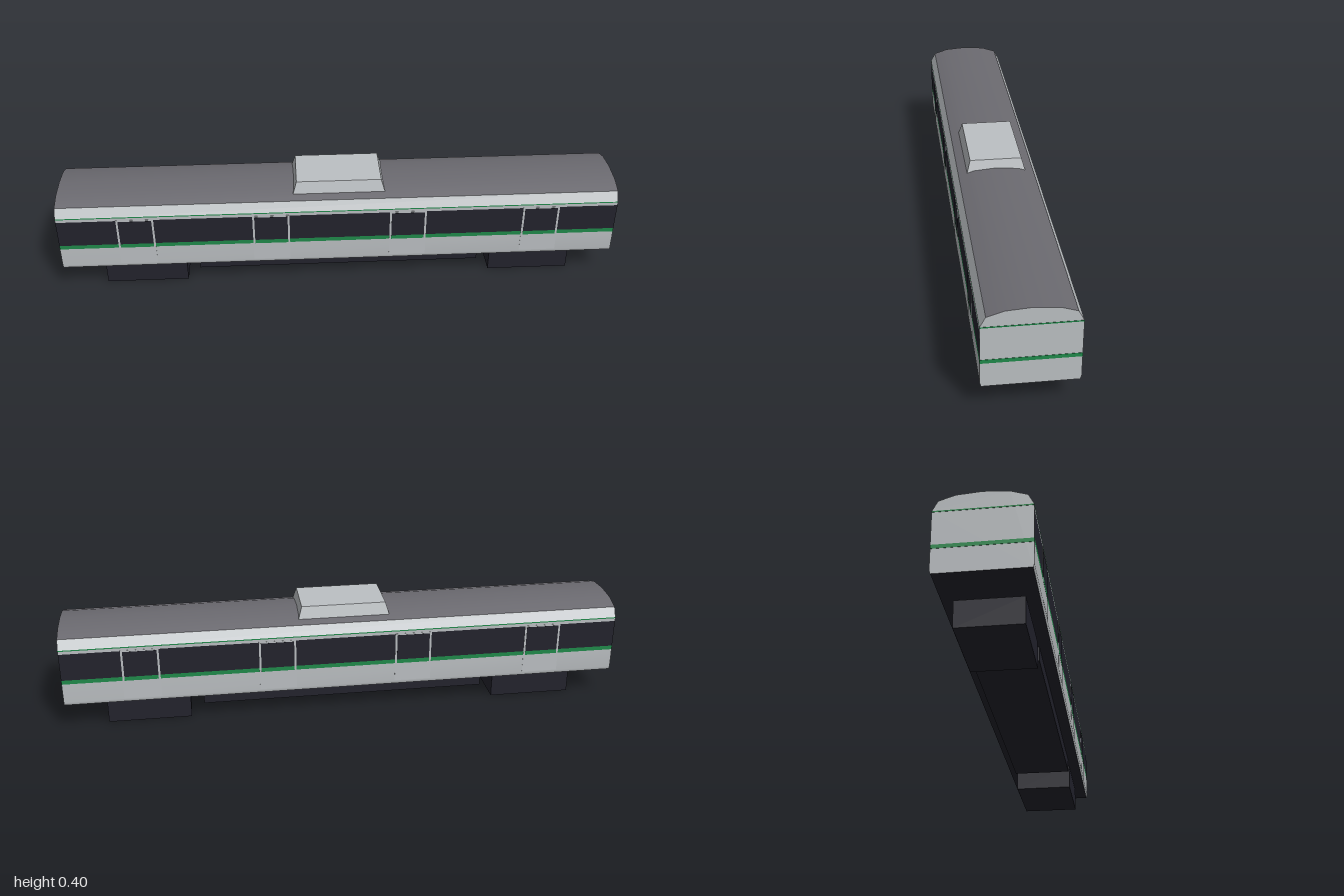
import * as THREE from 'three';

const paint = (name, color) => {
  const m = new THREE.MeshStandardMaterial({ color });
  m.name = name;
  return m;
};

export function createModel() {
  const silver = paint('silver', 0xbcc0c3);
  const green = paint('green', 0x1f8a4a);
  const dark = paint('dark', 0x23232d);
  const roofGrey = paint('roof grey', 0x6b6a70);

  const model = new THREE.Group();
  model.name = 'railCar';
  const W = 0.151; // half width of the body

  const add = (parent, name, geometry, material) => {
    const mesh = new THREE.Mesh(geometry, material);
    mesh.name = name;
    parent.add(mesh);
    return mesh;
  };

  const box = (parent, name, material, [x0, x1], [y0, y1], [z0, z1]) => {
    const mesh = add(parent, name, new THREE.BoxGeometry(x1 - x0, y1 - y0, z1 - z0), material);
    mesh.position.set((x0 + x1) / 2, (y0 + y1) / 2, (z0 + z1) / 2);
    return mesh;
  };

  // Full-length skin swept along x through [z, y] points, smooth within the band
  const band = (parent, name, material, points) => {
    const pos = [], index = [];
    points.forEach(([z, y], i) => {
      pos.push(-1, y, z, 1, y, z);
      if (i) {
        const k = 2 * i - 2;
        index.push(k, k + 1, k + 3, k, k + 3, k + 2);
      }
    });
    const g = new THREE.BufferGeometry();
    g.setAttribute('position', new THREE.Float32BufferAttribute(pos, 3));
    g.setIndex(index);
    g.computeVertexNormals();
    return add(parent, name, g, material);
  };

  // One side wall: stacked colour bands and four doors
  const side = new THREE.Group();
  side.name = 'sideWall';
  band(side, 'lowerPanel', silver, [[0.147, 0.1], [W, 0.112], [W, 0.183]]);
  band(side, 'beltStripe', green, [[W, 0.183], [W, 0.198]]);
  band(side, 'windowBand', dark, [[W, 0.198], [W, 0.298]]);
  band(side, 'upperPanel', silver, [[W, 0.298], [W, 0.309]]);
  band(side, 'eavesStripe', green, [[W, 0.309], [W, 0.313]]);
  band(side, 'eaves', silver, [[W, 0.313], [0.133, 0.347]]);
  for (const x of [-0.725, -0.245, 0.245, 0.725]) {
    const door = new THREE.Group();
    door.name = 'door';
    door.position.x = x;
    box(door, 'doorPanel', silver, [-0.066, 0.066], [0.114, 0.3], [W - 0.002, W + 0.0006]);
    box(door, 'doorStripe', green, [-0.059, 0.059], [0.183, 0.198], [W - 0.001, W + 0.0012]);
    box(door, 'doorWindow', dark, [-0.059, 0.059], [0.198, 0.294], [W - 0.001, W + 0.0012]);
    side.add(door);
  }
  const backSide = side.clone();
  backSide.rotation.y = Math.PI;
  model.add(side, backSide);

  // Curved roof and flat floor
  band(model, 'roof', roofGrey,
    [[0.133, 0.347], [0.08, 0.364], [0, 0.37], [-0.08, 0.364], [-0.133, 0.347]]);
  band(model, 'floor', dark, [[-0.147, 0.1], [0.147, 0.1]]);

  // End walls follow the body cross-section
  const half = [[0.147, 0.1], [W, 0.112], [W, 0.313], [0.133, 0.347], [0.08, 0.364], [0, 0.37]];
  const outline = [...half, ...half.slice(0, -1).reverse().map(([z, y]) => [-z, y])];
  const section = new THREE.Shape(outline.map(([z, y]) => new THREE.Vector2(z, y)));
  for (const s of [-1, 1]) {
    const end = new THREE.Group();
    end.name = 'endWall';
    add(end, 'endPanel', new THREE.ShapeGeometry(section), silver);
    box(end, 'endBeltStripe', green, [-W, W], [0.184, 0.197], [-0.001, 0.001]);
    box(end, 'endEavesStripe', green, [-W, W], [0.309, 0.313], [-0.001, 0.001]);
    end.rotation.y = s * Math.PI / 2;
    end.position.x = s * 0.999;
    model.add(end);
  }

  // Tapered roof unit
  const unit = new THREE.BoxGeometry(0.328, 0.044, 0.206);
  const p = unit.attributes.position;
  for (let i = 0; i < p.count; i++) {
    if (p.getY(i) > 0) p.setXYZ(i, p.getX(i) * 0.92, p.getY(i), p.getZ(i) * 0.88);
  }
  const unitFlat = unit.toNonIndexed();
  unitFlat.computeVertexNormals();
  add(model, 'roofUnit', unitFlat, silver).position.y = 0.378;

  // Underfloor equipment and bogies
  box(model, 'underframe', dark, [-0.513, 0.513], [0.05, 0.1], [-0.108, 0.108]);
  for (const x of [-0.708, 0.708]) {
    box(model, 'bogie', dark, [x - 0.148, x + 0.148], [0, 0.092], [-0.108, 0.108]);
    box(model, 'bogieMount', dark, [x - 0.1, x + 0.1], [0.09, 0.1], [-0.08, 0.08]);
  }
  return model;
}
